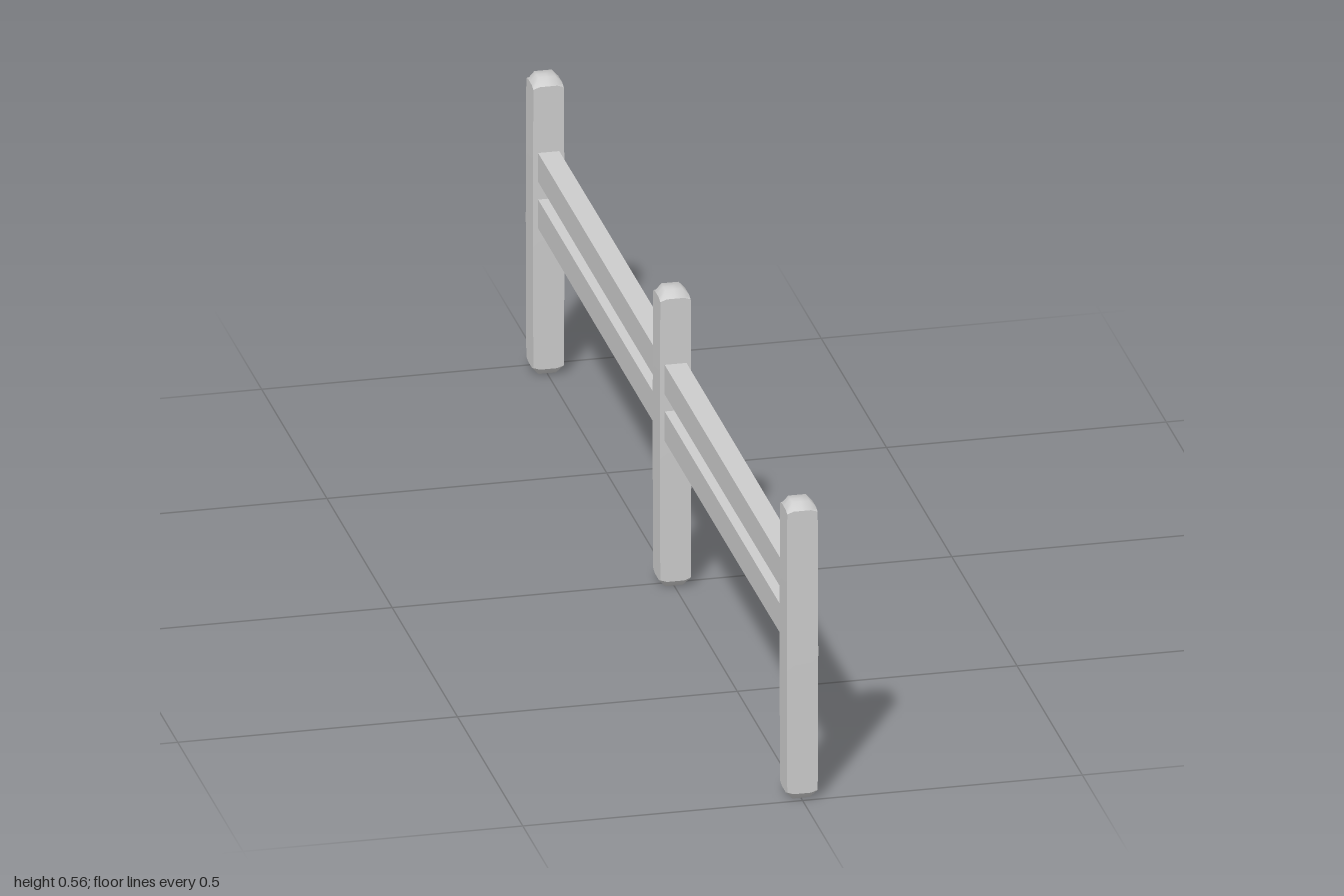
import * as THREE from 'three';

const material = new THREE.MeshStandardMaterial({ color: 0xcccccc });

// Hewn timber beam along y: square edges, faintly swelling middle, chamfered ends
function beamGeometry(width, length, depth) {
  const g = new THREE.BoxGeometry(width, length, depth, 4, 8, 4);
  const p = g.attributes.position;
  for (let i = 0; i < p.count; i++) {
    const x = p.getX(i) / (width / 2);
    const y = p.getY(i) / (length / 2);
    const z = p.getZ(i) / (depth / 2);
    const swell = 1 - 0.03 * y * y;
    // widen the flat middle of each end face
    const spread = (v) => (Math.abs(v) > 0.9 ? v : v * 1.14);
    let drop = 0;
    if (Math.abs(y) > 0.99) {
      const rimX = Math.abs(x) > 0.9, rimZ = Math.abs(z) > 0.9;
      if (rimX || rimZ) drop = rimX && rimZ ? 0.017 : 0.013;
    }
    p.setXYZ(
      i,
      spread(x) * swell * width / 2,
      p.getY(i) - Math.sign(y) * drop,
      spread(z) * swell * depth / 2
    );
  }
  g.computeVertexNormals();
  return g;
}

export function createModel() {
  const group = new THREE.Group();
  group.name = 'railFence';

  function add(name, geometry, y, z) {
    const mesh = new THREE.Mesh(geometry, material);
    mesh.name = name;
    mesh.position.set(0, y, z);
    group.add(mesh);
    return mesh;
  }

  // Three upright posts
  const post = beamGeometry(0.056, 0.56, 0.056);
  [['backPost', -0.972], ['middlePost', 0], ['frontPost', 0.972]]
    .forEach(([name, z]) => add(name, post, 0.28, z));

  // Two rails running through all the posts
  const rail = beamGeometry(0.039, 1.95, 0.056).rotateX(Math.PI / 2);
  add('lowerRail', rail, 0.308, 0);
  add('upperRail', rail, 0.396, 0);

  return group;
}
